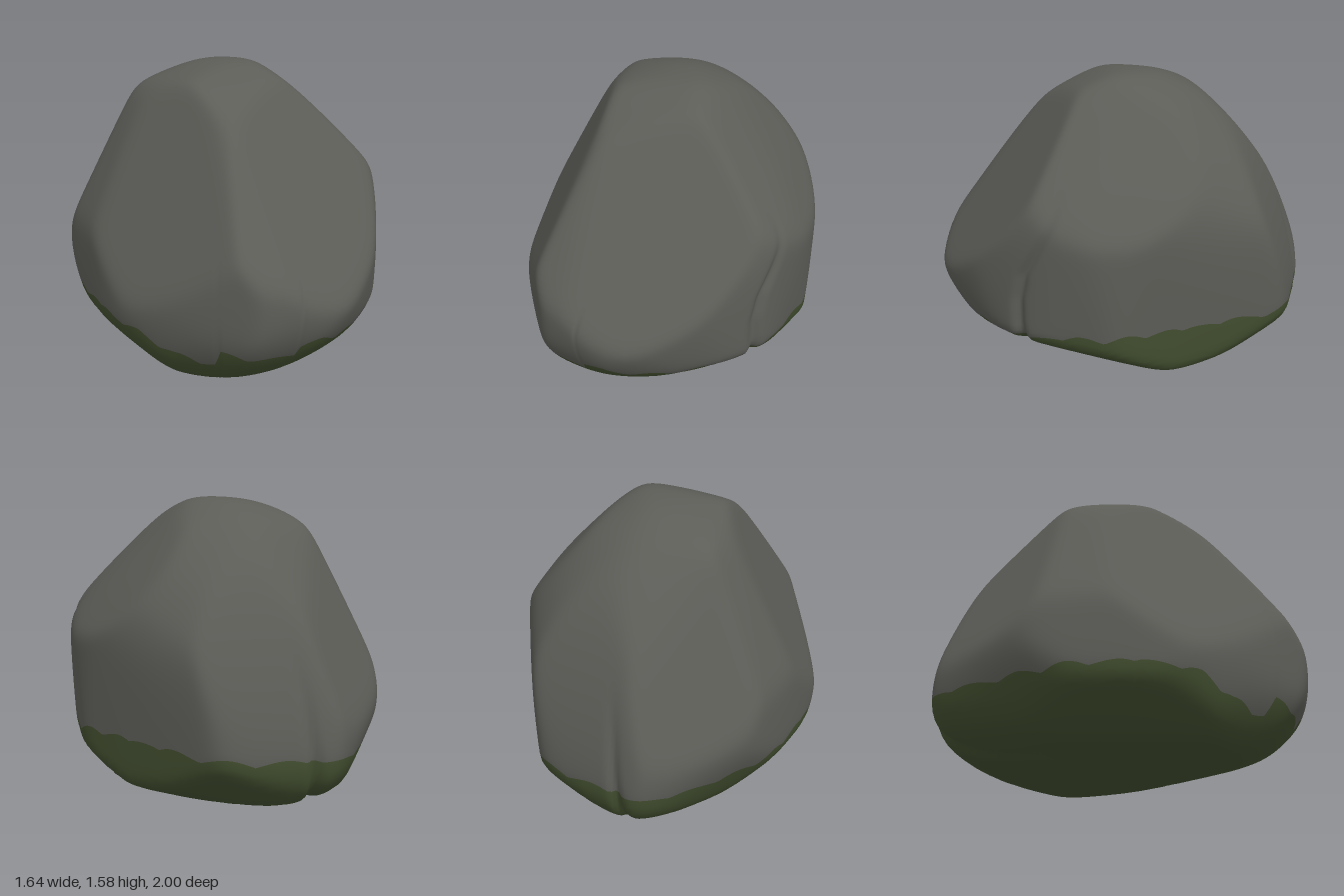
import * as THREE from 'three';

const CENTRE = new THREE.Vector3(0, 0.7, 0);
const MIDDLE = new THREE.Vector3(0, 0.785, 0);
const SHARPNESS = 52;
const SWELL = 1.029; // makes up for what the rounding of edges takes away

// Outlines of the boulder; every edge becomes a cutting plane
const frontOutline = [[-0.4, 0], [-0.6, 0.03], [-0.78, 0.22], [-0.82, 0.33], [-0.8, 0.68], [-0.6, 1.12],
  [-0.42, 1.46], [-0.35, 1.49], [-0.15, 1.55], [0.13, 1.575], [0.2, 1.55], [0.27, 1.49], [0.55, 1.2],
  [0.75, 0.97], [0.815, 0.84], [0.75, 0.21], [0.68, 0.13], [0.52, 0.06]];
const sideOutline = [[0.5, 0], [0.68, 0.02], [0.75, 0.06], [0.92, 0.28], [1, 0.5], [0.99, 0.6], [0.75, 0.95],
  [0.45, 1.37], [0.4, 1.41], [0.2, 1.5], [0, 1.57], [-0.2, 1.57], [-0.41, 1.5], [-0.62, 1.3],
  [-0.75, 1.1], [-0.88, 0.8], [-0.97, 0.48], [-1, 0.3], [-0.9, 0.08], [-0.83, 0.03]];
const topOutline = [[-0.41, -1], [-0.28, -1], [0.13, -0.98], [0.25, -0.92], [0.54, -0.59], [0.7, -0.4],
  [0.81, -0.02], [0.8, 0.1], [0.75, 0.3], [0.55, 0.7], [0.32, 0.91], [0.06, 0.99], [-0.22, 0.96],
  [-0.4, 0.8], [-0.72, 0.48], [-0.79, 0.15], [-0.82, -0.38], [-0.78, -0.53], [-0.68, -0.73], [-0.5, -0.93]];

// Slanted outlines, measured from MIDDLE
const frontRightOutline = [[-0.2, 0.78], [0.04, 0.8], [0.2, 0.785], [0.42, 0.65], [0.595, 0.485], [0.72, 0.29],
  [0.775, 0.075], [0.76, -0.17], [0.72, -0.62], [0.38, -0.755], [-0.355, -0.895], [-0.45, -0.89],
  [-0.66, -0.81], [-0.77, -0.63], [-0.835, -0.405], [-0.845, -0.265], [-0.785, -0.05], [-0.63, 0.26],
  [-0.355, 0.655]];
const backLeftOutline = [[-0.785, 0.105], [-0.53, 0.44], [-0.19, 0.725], [-0.085, 0.75], [0.115, 0.72],
  [0.405, 0.62], [0.61, 0.41], [0.76, 0.245], [0.82, -0.05], [0.845, -0.265], [0.835, -0.415],
  [0.775, -0.57], [0.67, -0.68], [0.515, -0.785], [0.29, -0.92], [0.085, -0.97], [-0.13, -1.005],
  [-0.33, -0.995], [-0.465, -0.92], [-0.71, -0.72], [-0.755, -0.325]];
const backRightOutline = [[-0.155, 0.75], [0.105, 0.78], [0.265, 0.765], [0.4, 0.7], [0.645, 0.46],
  [0.89, 0.195], [0.97, 0.01], [0.965, -0.11], [0.92, -0.325], [0.735, -0.66], [0.34, -0.88],
  [0.135, -0.975], [-0.12, -0.99], [-0.275, -0.975], [-0.55, -0.815], [-0.735, -0.66], [-0.815, -0.51],
  [-0.865, -0.265], [-0.83, -0.02], [-0.735, 0.29], [-0.49, 0.535]];

// Large slanting facets: normal, point on the facet
const facets = [
  [[0.23, 0.365, 0.47], [-0.1, 0.6, 1.0]],
  [[-0.5, 0.27, 0.26], [-0.45, 0.62, 0.73]],
  [[-0.42, 0.24, -0.33], [-0.62, 0.5, -0.73]],
  [[0.6, 0.08, -0.5], [0.5, 0.75, -0.64]],
  [[0.55, 0.5, -0.2], [0.47, 1.07, -0.6]],
  [[0.6, -0.1, 0.5], [0.55, 0.577, 0.68]],
  [[0.3, -0.25, 0.5], [0.32, 0.45, 0.9]],
  [[0.5, -0.65, 0.35], [0.64, 0.28, 0.53]],
  [[0.45, -0.8, 0.1], [0.72, 0.19, 0]],
  [[-0.45, -0.6, 0.5], [-0.56, 0.2, 0.62]],
  [[0.3, -0.8, -0.3], [0.5, 0.15, -0.63]],
  [[-0.5, -0.5, -0.5], [-0.6, 0.16, -0.72]],
];

function makePlanes() {
  const planes = [];
  const add = (normal, point) => {
    const n = normal.normalize();
    const h = n.dot(point.sub(CENTRE)) * SWELL;
    planes.push(h < 0 ? { n: n.negate(), h: -h } : { n, h });
  };
  // right and up span the plane of the outline
  const addOutline = (points, origin, right, up) => {
    const lift = (a, b) => right.clone().multiplyScalar(a).addScaledVector(up, b);
    points.forEach(([a, b], i) => {
      const [c, d] = points[(i + 1) % points.length];
      add(lift(d - b, a - c), lift(a, b).add(origin));
    });
  };
  const X = new THREE.Vector3(1, 0, 0), Y = new THREE.Vector3(0, 1, 0), Z = new THREE.Vector3(0, 0, 1);
  const ground = new THREE.Vector3();
  addOutline(frontOutline, ground, X, Y);
  addOutline(sideOutline, ground, Z, Y);
  addOutline(topOutline, CENTRE, X, Z);

  const addSlanted = (points, azimuth, elevation) => {
    const a = THREE.MathUtils.degToRad(azimuth), e = THREE.MathUtils.degToRad(elevation);
    const right = new THREE.Vector3(Math.cos(a), 0, -Math.sin(a));
    const up = new THREE.Vector3(-Math.sin(a) * Math.sin(e), Math.cos(e), -Math.cos(a) * Math.sin(e));
    addOutline(points, MIDDLE, right, up);
  };
  addSlanted(frontRightOutline, 35, 25);
  addSlanted(backLeftOutline, 215, 25);
  addSlanted(backRightOutline, 145, -25);
  facets.forEach(([n, p]) => add(new THREE.Vector3(...n), new THREE.Vector3(...p)));
  return planes;
}

// Piecewise linear lookup in [key, value] pairs with rising keys
function lookup(table, key) {
  if (key <= table[0][0]) return table[0][1];
  for (let i = 1; i < table.length; i++) {
    const [k0, v0] = table[i - 1], [k1, v1] = table[i];
    if (key <= k1) return v0 + (v1 - v0) * (key - k0) / (k1 - k0);
  }
  return table[table.length - 1][1];
}

// Cracks: height against sideways position
const sideCrack = [[0, 0.2], [0.08, 0.27], [0.2, 0.33], [0.35, 0.365], [0.5, 0.365], [0.65, 0.33],
  [0.8, 0.25], [0.92, 0.19], [1.0, 0.16], [1.12, 0.15]];
const backCrack = [[0, -0.33], [0.3, -0.31], [0.6, -0.27], [0.95, -0.2]];

function crackDepth(p) {
  const groove = (d) => Math.exp(-((d / 0.03) ** 2));
  const fade = (top, bottom) => 1 - THREE.MathUtils.smoothstep(p.y, bottom, top);
  if (p.x > 0.3) return 0.035 * groove(p.z - lookup(sideCrack, p.y)) * fade(1.15, 0.6);
  if (p.z < -0.4) return 0.035 * groove(p.x - lookup(backCrack, p.y)) * fade(0.95, 0.2);
  return 0;
}

// Ragged upper edge of the moss, by angle around the boulder (0 = front, rising towards +x)
const mossEdge = [[-3.15, 0.3], [-2.2, 0.28], [-1.4, 0.31], [-1.0, 0.27], [-0.75, 0.18], [-0.5, 0.15],
  [-0.46, 0.15], [-0.44, 0.25], [-0.25, 0.22], [0.0, 0.22], [0.02, 0.28], [0.15, 0.3], [0.3, 0.26],
  [0.6, 0.25], [1.1, 0.26], [1.4, 0.31], [2.0, 0.33], [2.6, 0.32], [3.15, 0.3]];
const mossHeight = (a) => lookup(mossEdge, a) + 0.025 * Math.abs(Math.sin(a * 11)) + 0.006 * Math.sin(a * 17 + 1);

function boulderGeometry() {
  const planes = makePlanes();
  const columns = 320, mossRows = 28, stoneRows = 64, rows = mossRows + stoneRows;

  // Point on the softened intersection of all planes
  const surface = (azimuth, elevation, target) => {
    target.set(Math.cos(elevation) * Math.sin(azimuth), Math.sin(elevation), Math.cos(elevation) * Math.cos(azimuth));
    let sum = 0;
    for (const { n, h } of planes) {
      const k = n.dot(target) / h;
      if (k > 0) sum += k ** SHARPNESS;
    }
    return target.multiplyScalar(sum ** (-1 / SHARPNESS)).add(CENTRE);
  };

  const positions = [], p = new THREE.Vector3();
  for (let j = 0; j < columns; j++) {
    const a = -Math.PI + (j / columns) * Math.PI * 2;
    const edge = mossHeight(a);
    let low = -1.3, high = 0.2;
    for (let k = 0; k < 18; k++) {
      const mid = (low + high) / 2;
      if (surface(a, mid, p).y < edge) low = mid; else high = mid;
    }
    for (let i = 0; i <= rows; i++) {
      const e = i <= mossRows
        ? THREE.MathUtils.lerp(-Math.PI / 2, low, i / mossRows)
        : THREE.MathUtils.lerp(low, Math.PI / 2, (i - mossRows) / stoneRows);
      const depth = crackDepth(surface(a, e, p));
      p.lerp(CENTRE, depth);
      positions.push(p.x, p.y, p.z);
    }
  }

  const index = [];
  for (let i = 0; i < rows; i++) {
    for (let j = 0; j < columns; j++) {
      const next = (j + 1) % columns;
      const A = j * (rows + 1) + i, B = next * (rows + 1) + i;
      index.push(A, B, B + 1, A, B + 1, A + 1);
    }
  }
  const geometry = new THREE.BufferGeometry();
  geometry.setAttribute('position', new THREE.Float32BufferAttribute(positions, 3));
  geometry.setIndex(index);
  geometry.addGroup(0, mossRows * columns * 6, 0);
  geometry.addGroup(mossRows * columns * 6, stoneRows * columns * 6, 1);
  geometry.computeVertexNormals();
  return geometry;
}

export function createModel() {
  const moss = new THREE.MeshStandardMaterial({ color: 0x434f30 });
  moss.name = 'moss';
  const stone = new THREE.MeshStandardMaterial({ color: 0x5d5d58 });
  stone.name = 'stone';
  const boulder = new THREE.Mesh(boulderGeometry(), [moss, stone]);
  boulder.name = 'boulder';
  const group = new THREE.Group();
  group.name = 'mossyBoulder';
  group.add(boulder);
  return group;
}
